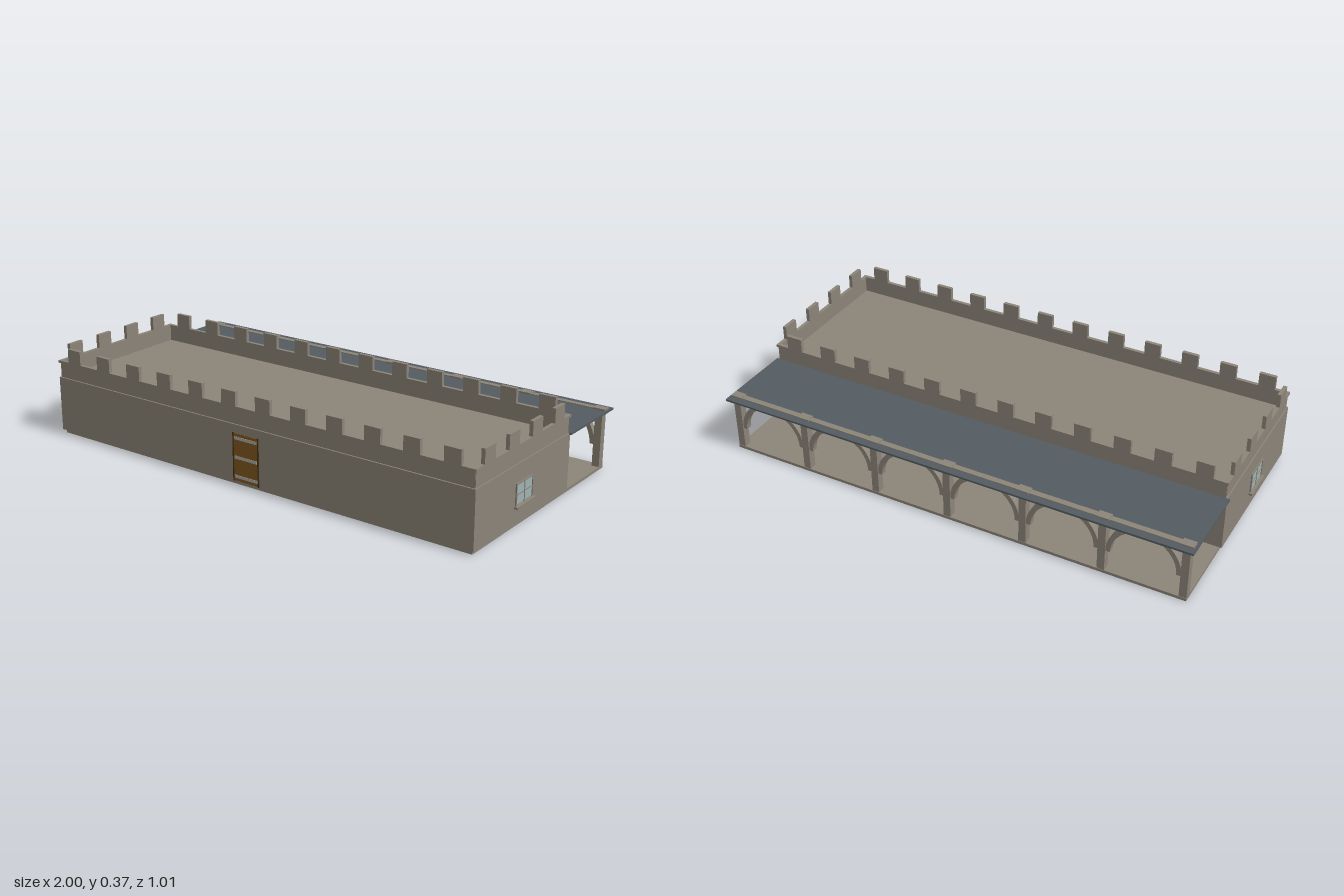
import * as THREE from 'three';

const mat = (name, color) => {
  const m = new THREE.MeshStandardMaterial({ color });
  m.name = name;
  return m;
};

export function createModel() {
  const stone = mat('stone', 0x8c8478);
  const slate = mat('slate', 0x535c61);
  const glass = mat('glass', 0x9db3b1);
  const wood = mat('wood', 0x80571f);
  const iron = mat('iron', 0xa9aaa2);
  const darkWood = mat('dark wood', 0x4a3316);

  const model = new THREE.Group();
  model.name = 'fortifiedHouse';

  // Box from its lower and upper corners
  const box = (name, material, x0, x1, y0, y1, z0, z1, parent = model) => {
    const mesh = new THREE.Mesh(new THREE.BoxGeometry(x1 - x0, y1 - y0, z1 - z0), material);
    mesh.position.set((x0 + x1) / 2, (y0 + y1) / 2, (z0 + z1) / 2);
    mesh.name = name;
    parent.add(mesh);
    return mesh;
  };

  const X = 0.985, ZF = 0.5, ZB = -0.165, ZC = (ZF + ZB) / 2;
  const DECK = 0.242, SILL = 0.313, TOP = 0.37;

  // Foundations and main body
  box('houseFoundation', stone, -0.975, 0.975, 0, 0.015, -0.155, 0.49);
  box('porchFloor', stone, -0.975, 0.975, 0, 0.012, -0.48, -0.157);
  box('walls', stone, -X, X, 0.015, DECK, ZB, ZF);

  // Parapet: recessed wall, capping strip and merlons on each side
  const parapet = new THREE.Group();
  parapet.name = 'parapet';
  model.add(parapet);
  for (const [z0, z1] of [[ZF - 0.015, ZF], [ZB, ZB + 0.015]]) {
    box('parapetWall', stone, -X + 0.006, X - 0.006, DECK, 0.303, z0 + 0.004, z1 - 0.006, parapet);
    box('parapetCap', stone, -X, X, 0.303, SILL, z0, z1, parapet);
    for (let i = 0; i < 12; i++) {
      const x = (i - 5.5) * 0.1623;
      box('merlon', stone, x - 0.034, x + 0.034, SILL, TOP, z0, z1, parapet);
    }
  }
  for (const [x0, x1] of [[-X, -X + 0.015], [X - 0.015, X]]) {
    box('parapetWall', stone, x0 + 0.005, x1 - 0.005, DECK, 0.303, ZB + 0.008, ZF - 0.008, parapet);
    box('parapetCap', stone, x0, x1, 0.303, SILL, ZB + 0.015, ZF - 0.015, parapet);
    for (let i = 0; i < 4; i++) {
      const z = ZC + (i - 1.5) * 0.1625;
      box('merlon', stone, x0, x1, SILL, TOP, z - 0.035, z + 0.035, parapet);
    }
  }

  // Front door with iron bands and narrow jambs
  const door = new THREE.Group();
  door.name = 'frontDoor';
  model.add(door);
  box('doorPanel', wood, -0.057, 0.057, 0.018, 0.208, ZF - 0.003, ZF + 0.002, door);
  for (const s of [-1, 1]) {
    box('doorJamb', darkWood, s * 0.059 - 0.003, s * 0.059 + 0.003, 0.016, 0.21, ZF - 0.003, ZF + 0.003, door);
  }
  for (const y of [0.036, 0.113, 0.19]) {
    box('doorBand', iron, -0.054, 0.054, y - 0.006, y + 0.006, ZF, ZF + 0.0035, door);
  }

  // Window facing local +z, its wall plane at z = 0
  const makeWindow = (name, w, y0, y1) => {
    const g = new THREE.Group();
    g.name = name;
    const h = w / 2, f = 0.006, ym = (y0 + y1) / 2;
    box('pane', glass, -h + f, h - f, y0 + f, y1 - f, -0.003, 0.002, g);
    for (const s of [-1, 1]) {
      box('windowJamb', stone, s * (h - f / 2) - f / 2, s * (h - f / 2) + f / 2, y0, y1, -0.003, 0.005, g);
    }
    box('windowLintel', stone, -h, h, y1 - f, y1, -0.003, 0.005, g);
    box('windowSill', stone, -h - 0.006, h + 0.006, y0 - 0.006, y0 + 0.003, -0.003, 0.014, g);
    box('mullion', stone, -0.0015, 0.0015, y0, y1 - f, -0.003, 0.004, g);
    box('transom', stone, -h + f, h - f, ym - 0.0015, ym + 0.0015, -0.003, 0.004, g);
    model.add(g);
    return g;
  };
  for (const s of [-1, 1]) {
    const side = makeWindow(s > 0 ? 'leftWindow' : 'rightWindow', 0.12, 0.084, 0.172);
    side.position.set(s * X, 0, ZC);
    side.rotation.y = s * Math.PI / 2;
  }
  const back = makeWindow('backWindow', 0.19, 0.084, 0.213);
  back.position.set(0, 0, ZB);
  back.rotation.y = Math.PI;

  // Porch roof
  box('porchRoof', slate, -0.995, 0.992, 0.235, 0.243, -0.505, -0.16);

  // Arcade: posts, capitals and half-round arches
  const arcade = new THREE.Group();
  arcade.name = 'arcade';
  model.add(arcade);
  const pitch = 0.32, R = 0.147, r = 0.128;
  const shape = new THREE.Shape();
  shape.absarc(0, 0, R, 0, Math.PI, false);
  shape.absarc(0, 0, r, Math.PI, 0, true);
  shape.closePath();
  const archGeometry = new THREE.ExtrudeGeometry(shape, { depth: 0.024, bevelEnabled: false, curveSegments: 16 });
  box('archBeam', stone, -0.985, 0.985, 0.234, 0.2465, -0.474, -0.45, arcade);
  for (let i = 0; i < 7; i++) {
    const x = (i - 3) * pitch;
    box('post', stone, x - 0.015, x + 0.015, 0.012, 0.24, -0.478, -0.447, arcade);
    box('capital', stone, x - 0.025, x + 0.025, 0.231, 0.25, -0.479, -0.445, arcade);
    if (i < 6) {
      const arch = new THREE.Mesh(archGeometry, stone);
      arch.name = 'arch';
      arch.position.set(x + pitch / 2, 0.1, -0.474);
      arcade.add(arch);
    }
  }

  return model;
}
